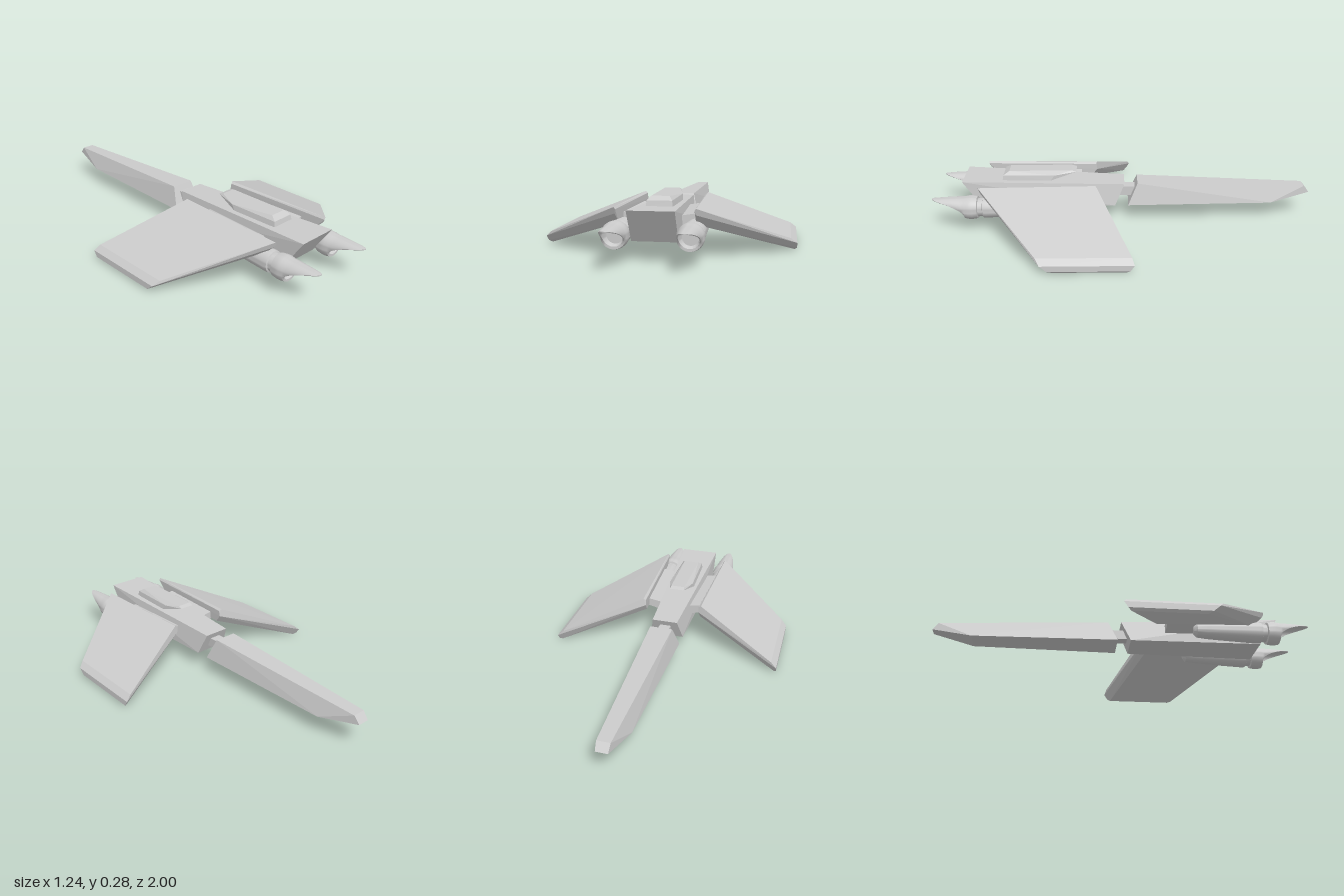
import * as THREE from 'three';
import { ConvexGeometry } from 'three/addons/geometries/ConvexGeometry.js';
import { toCreasedNormals } from 'three/addons/utils/BufferGeometryUtils.js';

const grey = new THREE.MeshStandardMaterial({ color: 0xcccccc });

function add(parent, name, geometry) {
  const mesh = new THREE.Mesh(geometry, grey);
  mesh.name = name;
  parent.add(mesh);
  return mesh;
}

// Faceted solid from corner points
const hull = (pts) => new ConvexGeometry(pts.map((p) => new THREE.Vector3(...p)));

// Faceted solid symmetric in x, from [half width, y, z] corners
const symmetricHull = (pts) => hull(pts.flatMap(([x, y, z]) => [[x, y, z], [-x, y, z]]));

// Engine pod: a turned profile whose front lip is swept into a beak
function podGeometry() {
  const lip = 0.83, sweep = 2.7;
  const profile = [
    [0, 0.37], [0.02, 0.374], [0.036, 0.39], [0.042, 0.44], [0.046, 0.51], [0.056, 0.72],
    [0.054, 0.735], [0.047, 0.738], [0.047, 0.762], [0.058, 0.765], [0.062, 0.79], [0.062, 0.81],
    [0.058, 0.83], [0.057, 0.87], [0.055, 0.92], [0.053, 0.96], [0.05, 1],
    [0.046, 1], [0.047, 0.92], [0.048, 0.83], [0.038, 0.8], [0, 0.8],
  ].map(([r, z]) => new THREE.Vector2(r, z));
  const geo = new THREE.LatheGeometry(profile, 40);
  geo.rotateX(Math.PI / 2);
  const p = geo.attributes.position;
  for (let i = 0; i < p.count; i++) {
    const z = p.getZ(i);
    if (z <= lip) continue;
    const t = (p.getY(i) / Math.hypot(p.getX(i), p.getY(i)) + 1) / 2;
    p.setZ(i, lip + (z - lip) * Math.pow(t, sweep));
  }
  return toCreasedNormals(geo, 0.6);
}

export function createModel() {
  const model = new THREE.Group();
  model.name = 'spacecraft';

  // Central body with raked ends
  add(model, 'body', symmetricHull([
    [0.105, 0.245, 0.85], [0.105, 0.095, 0.75],
    [0.068, 0.21, 0], [0.09, 0.095, 0.05],
  ]));

  // Long tapering boom and its joint to the body
  add(model, 'boom', symmetricHull([
    [0.06, 0.21, -0.07], [0.088, 0.095, -0.02],
    [0.033, 0.177, -0.97], [0.068, 0.095, -0.79], [0.03, 0.14, -1],
  ]));
  add(model, 'boomJoint', new THREE.BoxGeometry(0.06, 0.05, 0.2)).position.set(0, 0.153, -0.01);

  // Canopy with bevelled top and overhanging thin end
  add(model, 'canopy', symmetricHull([
    [0.062, 0.235, 0.645], [0.058, 0.262, 0.64], [0.042, 0.28, 0.61],
    [0.07, 0.235, 0.39], [0.066, 0.262, 0.37],
    [0.038, 0.28, 0.28], [0.04, 0.272, 0.255],
  ]));

  const pod = podGeometry();
  for (const [side, s] of [['left', 1], ['right', -1]]) {
    const mirrored = (pts) => hull(pts.map(([x, y, z]) => [s * x, y, z]));

    // Swept drooping wing with bevelled edges
    add(model, side + 'Wing', mirrored([
      // root
      [0.182, 0.245, 0.755], [0.165, 0.245, 0.15], [0.175, 0.235, 0.755], [0.152, 0.236, 0.155],
      [0.18, 0.215, 0.745], [0.152, 0.205, 0.15], [0.175, 0.165, 0.69], [0.155, 0.165, 0.18],
      // tip
      [0.59, 0.068, 0.43], [0.59, 0.068, -0.028], [0.62, 0.042, 0.41], [0.62, 0.042, -0.04],
      [0.62, 0.012, 0.375], [0.62, 0.012, -0.02], [0.608, 0, 0.35], [0.608, 0, -0.005],
    ]));

    // Strut joining body, pod and wing
    add(model, side + 'Strut', mirrored([
      [0.075, 0.19, 0.235], [0.18, 0.207, 0.235], [0.075, 0.19, 0.62], [0.18, 0.207, 0.62],
      [0.075, 0.14, 0.235], [0.18, 0.165, 0.235], [0.075, 0.14, 0.62], [0.18, 0.165, 0.62],
    ]));

    add(model, side + 'EnginePod', pod).position.set(s * 0.165, 0.13, 0);
  }
  return model;
}
